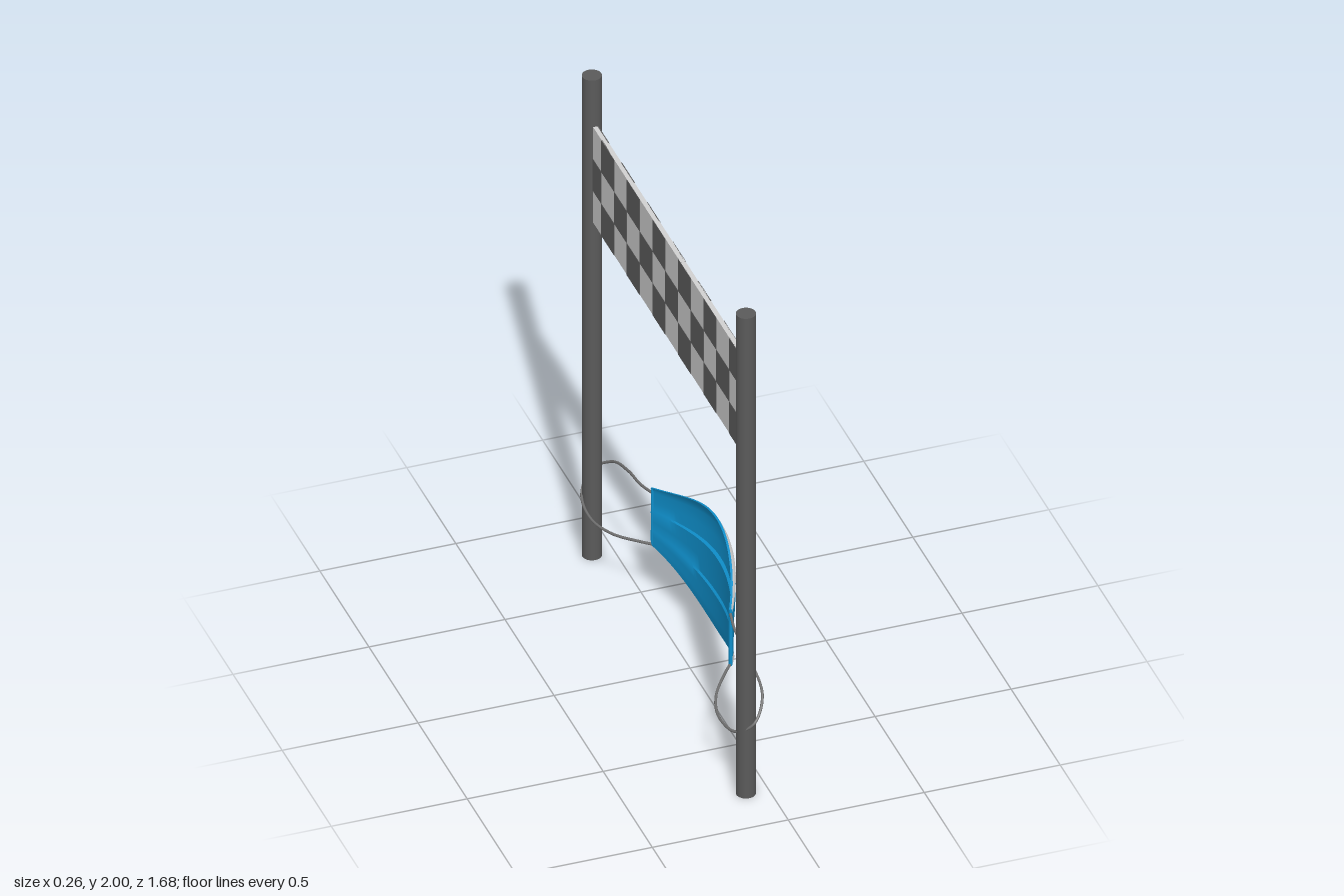
import * as THREE from 'three';
import { toCreasedNormals } from 'three/addons/utils/BufferGeometryUtils.js';

const material = (name, color, side = THREE.FrontSide) => {
  const m = new THREE.MeshStandardMaterial({ color, side });
  m.name = name;
  return m;
};

// Mask cross-section, top to bottom: [y at centre, y at the ends, x offset]
const ROWS = [
  [0.600, 0.498, -0.016], [0.585, 0.495, -0.008], [0.565, 0.488, 0.001], [0.546, 0.478, 0.006],
  [0.490, 0.440, 0.005], [0.435, 0.405, 0.001], [0.429, 0.400, -0.010], [0.350, 0.360, -0.008],
  [0.280, 0.325, -0.007], [0.273, 0.319, -0.014], [0.220, 0.300, -0.011], [0.171, 0.280, -0.010],
  [0.145, 0.270, -0.008], [0.118, 0.260, -0.004],
];
const HALF = 0.4, THICK = 0.008;

function maskPoint([yMid, yEnd, dx], inset, z) {
  const c = Math.cos((z / HALF) * Math.PI / 2);
  const bell = 0.6 * c + 0.4 * c * c;
  const arc = 0.01 + 0.11 * (0.4 * c + 0.6 * (1 - (z / HALF) ** 2));
  return [arc + dx * (0.2 + 0.8 * bell) - inset, yEnd + (yMid - yEnd) * bell, z];
}

// Skin a list of [row, inset] across the width of the mask
function maskSheet(list) {
  const cols = 40, pos = [], idx = [], n = cols + 1;
  list.forEach(([row, inset], i) => {
    for (let j = 0; j <= cols; j++) {
      pos.push(...maskPoint(row, inset, -HALF + (2 * HALF * j) / cols));
      if (i && j) {
        const a = (i - 1) * n + j - 1, b = i * n + j - 1;
        idx.push(a, a + 1, b, a + 1, b + 1, b);
      }
    }
  });
  const g = new THREE.BufferGeometry();
  g.setAttribute('position', new THREE.Float32BufferAttribute(pos, 3));
  g.setIndex(idx);
  return toCreasedNormals(g, 0.7);
}

export function createModel() {
  const root = new THREE.Group();
  const poleGrey = material('pole grey', 0x5a5a5a);
  const bannerLight = material('banner light grey', 0xd0d0d0);
  const bannerDark = material('banner dark grey', 0x5e5e5e);
  const maskBlue = material('mask blue', 0x0f8fcb, THREE.DoubleSide);
  const trimWhite = material('trim white', 0xe2e2e2, THREE.DoubleSide);
  const strapGrey = material('strap grey', 0x707070);

  const add = (parent, name, geometry, mat, x = 0, y = 0, z = 0) => {
    const mesh = new THREE.Mesh(geometry, mat);
    mesh.name = name;
    mesh.position.set(x, y, z);
    parent.add(mesh);
    return mesh;
  };

  // Two upright poles
  const POLE_X = -0.081;
  const poleGeometry = new THREE.CylinderGeometry(0.035, 0.035, 2, 32);
  add(root, 'leftPole', poleGeometry, poleGrey, POLE_X, 1, 0.793);
  add(root, 'rightPole', poleGeometry, poleGrey, POLE_X, 1, -0.775);

  // Checkered banner between the poles
  const banner = new THREE.Group();
  banner.name = 'banner';
  banner.position.set(POLE_X, 1.61, 0.011);
  root.add(banner);
  const W = 1.496, H = 0.398, CELL = 0.13, ROW = H / 3;
  add(banner, 'bannerPanel', new THREE.BoxGeometry(0.018, H, W), bannerLight);
  for (const side of [1, -1]) {
    for (let r = 0; r < 3; r++) {
      for (let k = -1; k < 12; k++) {
        if ((k + r) % 2) continue;
        const from = Math.max(0, 0.086 + k * CELL);
        const to = Math.min(W, 0.086 + (k + 1) * CELL);
        if (to - from < 0.01) continue;
        add(banner, 'bannerCheck', new THREE.BoxGeometry(0.004, ROW, to - from), bannerDark,
          side * 0.0085, H / 2 - (r + 0.5) * ROW, side * (W / 2 - (from + to) / 2));
      }
    }
  }

  // Pleated face mask: outer bands and inner lining
  const mask = new THREE.Group();
  mask.name = 'mask';
  root.add(mask);
  const outer = (a, b) => maskSheet(ROWS.slice(a, b + 1).map((r) => [r, 0]));
  add(mask, 'topTrim', outer(0, 3), trimWhite);
  add(mask, 'pleatedPanel', outer(3, 11), maskBlue);
  add(mask, 'bottomTrim', outer(11, 13), trimWhite);
  const inner = ROWS.map((r) => [r, THICK]).reverse();
  add(mask, 'lining', maskSheet([[ROWS[13], 0], ...inner, [ROWS[0], 0]]), maskBlue);

  // Side seams and ear loops, mirrored front to back
  const strapPoints = [
    [0.005, 0.478, 0.395], [-0.008, 0.463, 0.48], [-0.006, 0.435, 0.615], [-0.012, 0.376, 0.77],
    [-0.065, 0.313, 0.836], [-0.115, 0.258, 0.785], [-0.13, 0.241, 0.65], [-0.095, 0.246, 0.53],
    [-0.025, 0.26, 0.43], [0.005, 0.265, 0.395],
  ];
  for (const s of [1, -1]) {
    add(mask, 'sideSeam', new THREE.BoxGeometry(0.011, 0.23, 0.008), maskBlue, 0.006, 0.379, s * 0.396);
    const path = new THREE.CatmullRomCurve3(
      strapPoints.map(([x, y, z]) => new THREE.Vector3(x, y, s * z)));
    add(mask, 'earLoop', new THREE.TubeGeometry(path, 80, 0.005, 8), strapGrey);
  }
  return root;
}
